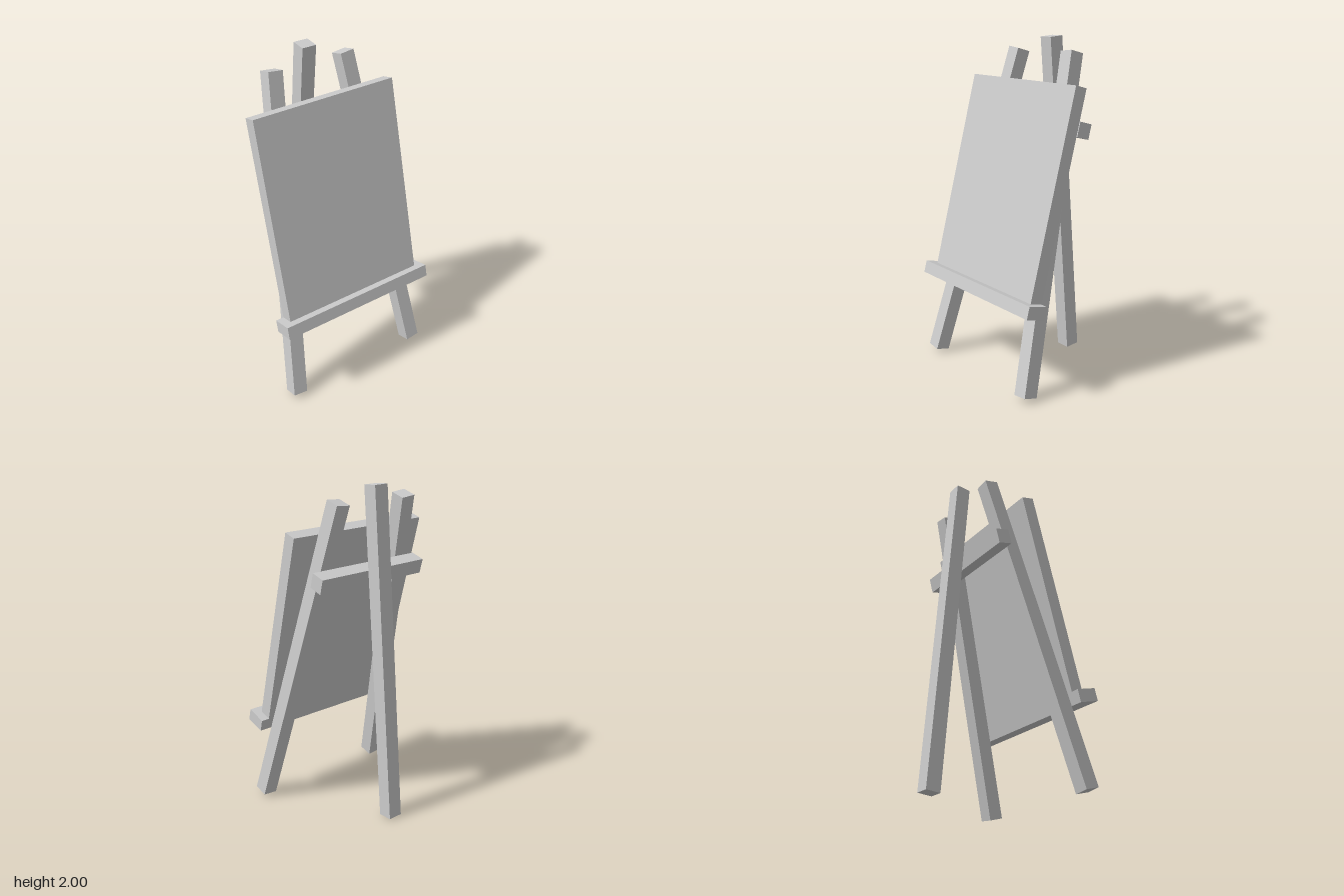
import * as THREE from 'three';

const material = new THREE.MeshStandardMaterial({ color: 0xcccccc, flatShading: true });

function box(name, w, h, d, x, y, z) {
  const mesh = new THREE.Mesh(new THREE.BoxGeometry(w, h, d), material);
  mesh.name = name;
  mesh.position.set(x, y, z);
  return mesh;
}

// Square bar running from point a up to point b
function bar(name, size, a, b) {
  const dir = b.clone().sub(a);
  const mid = a.clone().add(b).multiplyScalar(0.5);
  const mesh = box(name, size, dir.length(), size, mid.x, mid.y, mid.z);
  mesh.quaternion.setFromUnitVectors(new THREE.Vector3(0, 1, 0), dir.normalize());
  return mesh;
}

export function createModel() {
  const easel = new THREE.Group();
  easel.name = 'easel';

  // Front frame, leaning back; local y runs up the slope, z points out of the canvas
  const frame = new THREE.Group();
  frame.name = 'frontFrame';
  frame.position.set(0, 0.024, 0.355);
  frame.rotation.x = THREE.MathUtils.degToRad(-15);
  easel.add(frame);

  // Splayed front legs
  for (const [name, s] of [['leftFrontLeg', 1], ['rightFrontLeg', -1]]) {
    frame.add(bar(name, 0.09, new THREE.Vector3(s * 0.443, 0, 0), new THREE.Vector3(s * 0.237, 1.957, 0)));
  }

  // Canvas resting on the ledge, and the brace behind the legs
  frame.add(box('canvas', 0.93, 1.214, 0.08, 0, 1.151, 0.087));
  frame.add(box('ledge', 1.03, 0.075, 0.13, 0, 0.507, 0.112));
  frame.add(box('crossbar', 0.75, 0.09, 0.09, 0, 1.535, -0.09));

  // Rear support leg
  easel.add(bar('backLeg', 0.09, new THREE.Vector3(0.01, 0.004, -0.359), new THREE.Vector3(0.01, 1.996, -0.195)));

  return easel;
}
